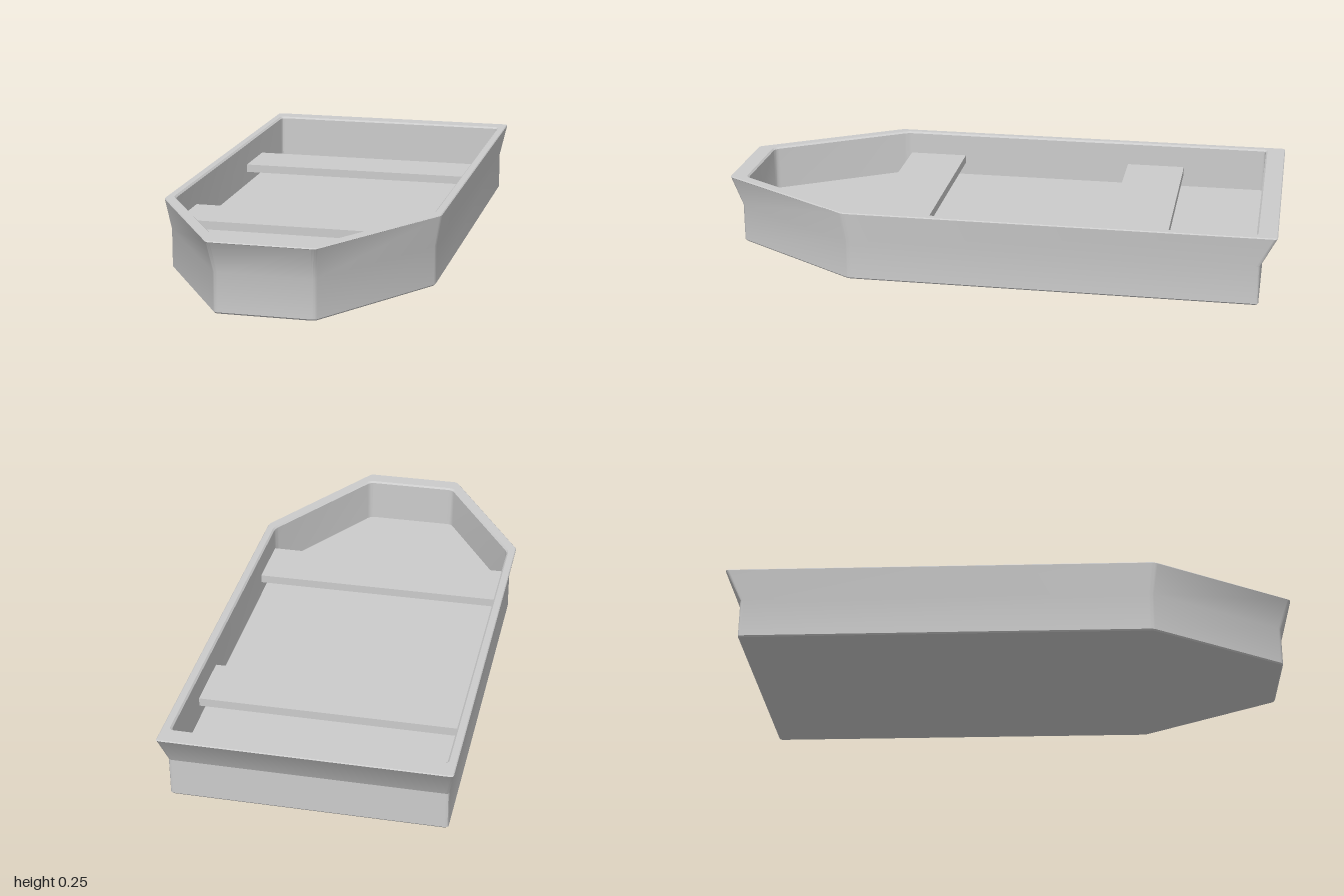
import * as THREE from 'three';
import { toCreasedNormals } from 'three/addons/utils/BufferGeometryUtils.js';

const material = new THREE.MeshStandardMaterial({ color: 0xcccccc });

// Six-sided boat outline with slightly rounded corners, counterclockwise from above
function outline(y, side, back, shoulder, bow, front, r) {
  const corners = [
    [side, back], [-side, back], [-side, shoulder],
    [-bow, front], [bow, front], [side, shoulder],
  ].map(([x, z]) => new THREE.Vector3(x, y, z));
  const ring = [];
  corners.forEach((c, i) => {
    const before = corners[(i + 5) % 6], after = corners[(i + 1) % 6];
    const a = c.clone().add(before.clone().sub(c).setLength(r));
    const b = c.clone().add(after.clone().sub(c).setLength(r));
    ring.push(...new THREE.QuadraticBezierCurve3(a, c, b).getPoints(4));
  });
  return ring;
}

// Skin a stack of outlines and close both ends
function loft(rings) {
  const n = rings[0].length, index = [];
  const points = rings.flat();
  for (let k = 0; k < rings.length - 1; k++) {
    for (let i = 0; i < n; i++) {
      const j = (i + 1) % n;
      const a = k * n + i, b = k * n + j, c = b + n, d = a + n;
      index.push(a, b, c, a, c, d);
    }
  }
  const last = (rings.length - 1) * n, low = points.length, high = low + 1;
  points.push(new THREE.Vector3(0, rings[0][0].y, 0));
  points.push(new THREE.Vector3(0, rings.at(-1)[0].y, 0));
  for (let i = 0; i < n; i++) {
    const j = (i + 1) % n;
    index.push(low, j, i, high, last + i, last + j);
  }
  const geometry = new THREE.BufferGeometry().setFromPoints(points);
  geometry.setIndex(index);
  return toCreasedNormals(geometry, 0.45);
}

function addMesh(group, name, geometry) {
  const mesh = new THREE.Mesh(geometry, material);
  mesh.name = name;
  group.add(mesh);
  return mesh;
}

export function createModel() {
  const boat = new THREE.Group();
  boat.name = 'boat';

  // Hull: straight lower sides, flared upper sides, flat rim, inner walls and floor
  addMesh(boat, 'hull', loft([
    outline(0, 0.466, -0.941, 0.487, 0.166, 0.956, 0.012),
    outline(0.005, 0.47, -0.945, 0.489, 0.168, 0.96, 0.012),
    outline(0.14, 0.47, -0.945, 0.489, 0.168, 0.96, 0.012),
    outline(0.248, 0.49, -0.998, 0.5, 0.18, 0.998, 0.012),
    outline(0.25, 0.49, -1, 0.5, 0.18, 1, 0.012),
    outline(0.253, 0.487, -0.997, 0.499, 0.178, 0.997, 0.012),
    outline(0.253, 0.464, -0.934, 0.474, 0.174, 0.94, 0.018),
    outline(0.247, 0.458, -0.928, 0.472, 0.17, 0.934, 0.018),
    outline(0.09, 0.457, -0.927, 0.471, 0.169, 0.933, 0.018),
  ]));

  // Two bench seats spanning the hull
  [['rearBench', -0.508], ['frontBench', 0.351]].forEach(([name, z]) => {
    const bench = addMesh(boat, name, new THREE.BoxGeometry(0.924, 0.03, 0.217));
    bench.position.set(0, 0.152, z);
  });

  return boat;
}
